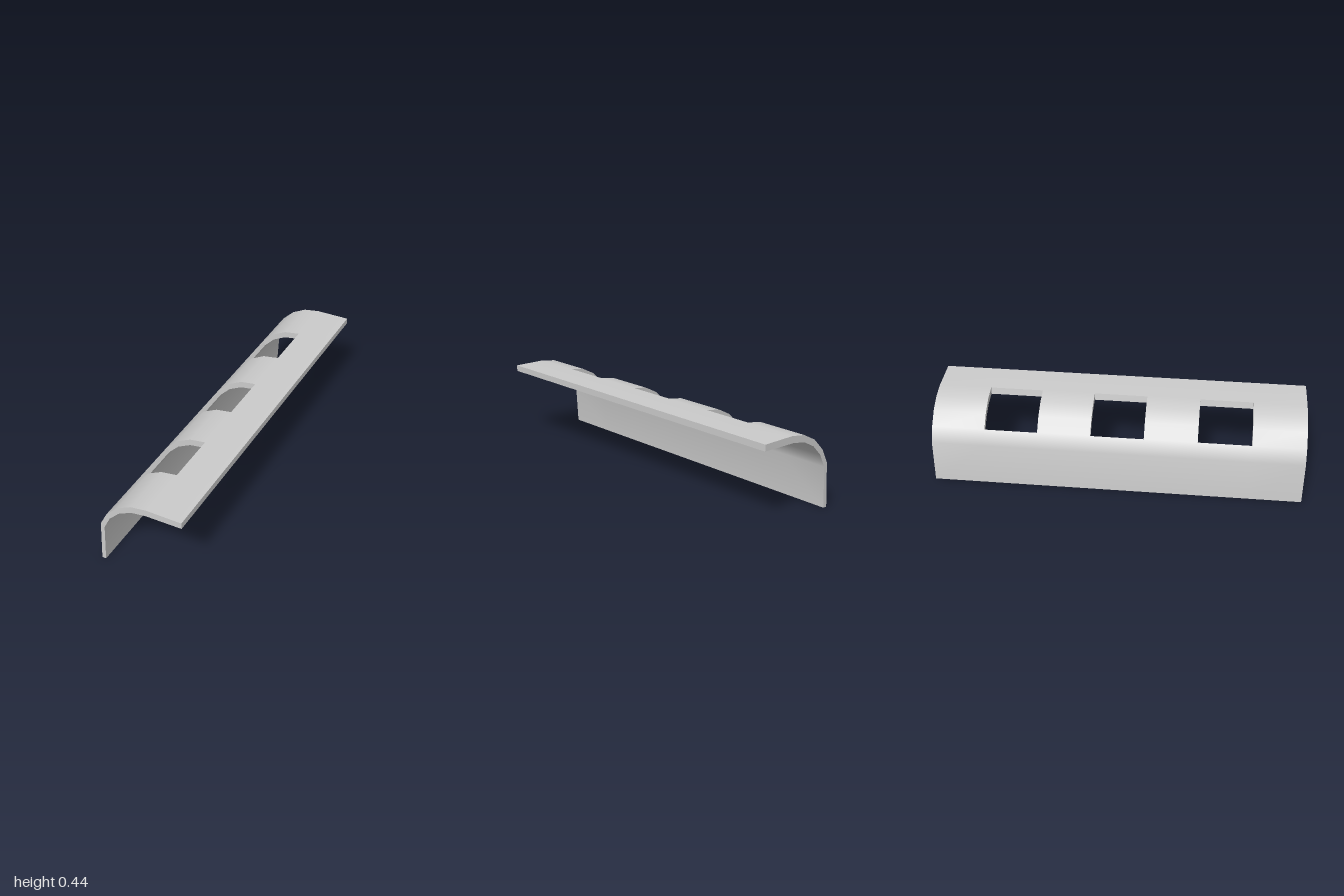
import * as THREE from 'three';

// Cross-section (x, y) from the foot of the wall to the free edge of the flange
const OUTER = [[-0.237, 0], [-0.223, 0.239], [-0.182, 0.317], [-0.118, 0.381], [-0.04, 0.421], [0.047, 0.435], [0.236, 0.435]];
const INNER = [[-0.215, 0], [-0.203, 0.221], [-0.167, 0.292], [-0.112, 0.348], [-0.04, 0.385], [0.04, 0.398], [0.236, 0.401]];
const ROWS = OUTER.length - 1;
const BAYS = 7; // equal bays along z, every second one has a window

const point = (profile, i, j) => [...profile[i], -1 + (2 * j) / BAYS];

const isSolid = (i, j) => {
  if (i < 0 || j < 0 || i >= ROWS || j >= BAYS) return false;
  return !(j % 2 === 1 && i >= 2 && i <= 4);
};

// Smooth skin along a profile: normals come from the full sheet, then windows are left out
function skin(profile, flip) {
  const positions = [];
  for (let i = 0; i <= ROWS; i++) {
    for (let j = 0; j <= BAYS; j++) positions.push(...point(profile, i, j));
  }
  const cells = (keep) => {
    const index = [];
    for (let i = 0; i < ROWS; i++) {
      for (let j = 0; j < BAYS; j++) {
        if (!keep(i, j)) continue;
        const a = i * (BAYS + 1) + j, b = a + 1, d = a + BAYS + 1, c = d + 1;
        index.push(...(flip ? [a, c, b, a, d, c] : [a, b, c, a, c, d]));
      }
    }
    return index;
  };
  const geometry = new THREE.BufferGeometry();
  geometry.setAttribute('position', new THREE.Float32BufferAttribute(positions, 3));
  geometry.setIndex(cells(() => true));
  geometry.computeVertexNormals();
  geometry.setIndex(cells(isSolid));
  return geometry;
}

// Flat faces joining both skins wherever a solid cell meets empty space
function edges() {
  const positions = [];
  const wall = (p, q) => {
    const [op, oq] = [point(OUTER, ...p), point(OUTER, ...q)];
    const [ip, iq] = [point(INNER, ...p), point(INNER, ...q)];
    positions.push(...oq, ...op, ...ip, ...oq, ...ip, ...iq);
  };
  for (let i = 0; i < ROWS; i++) {
    for (let j = 0; j < BAYS; j++) {
      if (!isSolid(i, j)) continue;
      const corners = [[i, j], [i, j + 1], [i + 1, j + 1], [i + 1, j]];
      const neighbours = [[i - 1, j], [i, j + 1], [i + 1, j], [i, j - 1]];
      neighbours.forEach((n, k) => {
        if (!isSolid(...n)) wall(corners[k], corners[(k + 1) % 4]);
      });
    }
  }
  const geometry = new THREE.BufferGeometry();
  geometry.setAttribute('position', new THREE.Float32BufferAttribute(positions, 3));
  geometry.computeVertexNormals();
  return geometry;
}

export function createModel() {
  const material = new THREE.MeshStandardMaterial({ color: 0xcccccc });
  const group = new THREE.Group();
  group.name = 'curvedPanel';
  const add = (name, geometry) => {
    const mesh = new THREE.Mesh(geometry, material);
    mesh.name = name;
    group.add(mesh);
  };
  add('outerSkin', skin(OUTER, false));
  add('innerSkin', skin(INNER, true));
  add('rimAndWindowEdges', edges());
  return group;
}
